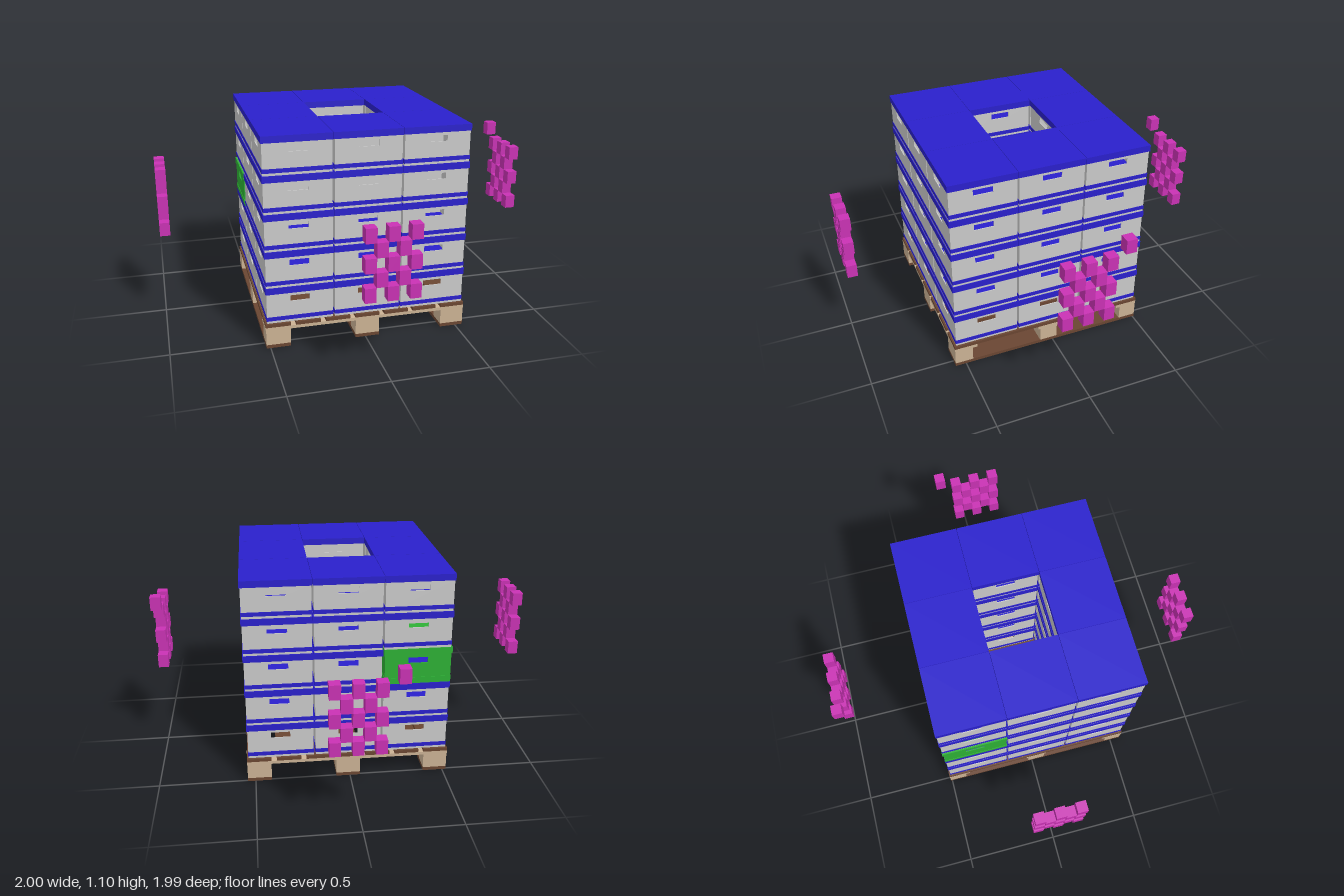
import * as THREE from 'three';
import { mergeGeometries } from 'three/addons/utils/BufferGeometryUtils.js';

const mat = (name, color) => {
  const m = new THREE.MeshStandardMaterial({ color });
  m.name = name;
  return m;
};

// Rectangle outline centred on (cx, cy)
function rect(Type, w, h, cx = 0, cy = 0) {
  const p = new Type();
  p.moveTo(cx - w / 2, cy - h / 2);
  p.lineTo(cx + w / 2, cy - h / 2);
  p.lineTo(cx + w / 2, cy + h / 2);
  p.lineTo(cx - w / 2, cy + h / 2);
  p.closePath();
  return p;
}

// Four crate walls, each with a hand slot
function wallsGeometry(size, height) {
  const t = 0.005;
  const shape = rect(THREE.Shape, size, height, 0, height / 2);
  shape.holes.push(rect(THREE.Path, 0.1, 0.031, 0, 0.129));
  const walls = [];
  for (let i = 0; i < 4; i++) {
    const g = new THREE.ExtrudeGeometry(shape, { depth: t, bevelEnabled: false });
    g.translate(0, 0, size / 2 - t);
    g.rotateY(i * Math.PI / 2);
    walls.push(g);
  }
  return mergeGeometries(walls);
}

// Square band around the crate foot
function bandGeometry(outer, inner, height) {
  const shape = rect(THREE.Shape, outer, outer);
  shape.holes.push(rect(THREE.Path, inner, inner));
  const g = new THREE.ExtrudeGeometry(shape, { depth: height, bevelEnabled: false });
  g.rotateX(-Math.PI / 2);
  return g;
}

export function createModel() {
  const grey = mat('crate grey', 0xcacaca);
  const blue = mat('lid blue', 0x2a20cc);
  const green = mat('crate green', 0x2db035);
  const brown = mat('dark wood', 0x6a4632);
  const tan = mat('light wood', 0xcbb294);
  const magenta = mat('marker magenta', 0xc932b4);

  const model = new THREE.Group();
  model.name = 'palletLoad';
  const add = (parent, name, geo, material, x, y, z) => {
    const m = new THREE.Mesh(geo, material);
    m.name = name;
    m.position.set(x, y, z);
    parent.add(m);
    return m;
  };
  const box = (parent, name, material, w, h, d, x, y, z) =>
    add(parent, name, new THREE.BoxGeometry(w, h, d), material, x, y, z);

  const CX = 0.01, CZ = 0.025;

  // Pallet: skids, blocks, cross boards, deck boards
  const pallet = new THREE.Group();
  pallet.name = 'pallet';
  model.add(pallet);
  for (let i = -1; i <= 1; i++) {
    const x = CX + i * 0.468;
    box(pallet, 'skid', brown, 0.126, 0.018, 1.066, x, 0.009, CZ);
    for (let j = -1; j <= 1; j++) {
      box(pallet, 'block', tan, 0.126, 0.08, 0.097, x, 0.058, CZ + j * 0.484);
    }
    box(pallet, 'crossBoard', tan, 1.066, 0.017, 0.122, CX, 0.1065, CZ + i * 0.472);
  }
  for (let i = -3; i <= 3; i++) {
    box(pallet, 'deckBoard', brown, 0.128, 0.017, 1.066, CX + i * 0.156, 0.1235, CZ);
  }

  // Crates: five layers of eight around an open well
  const PITCH = 0.352, STEP = 0.194, BASE = 0.134;
  const walls = wallsGeometry(0.341, 0.162);
  const band = bandGeometry(0.346, 0.332, 0.021);
  const lid = new THREE.BoxGeometry(0.35, 0.034, 0.35);
  for (let layer = 0; layer < 5; layer++) {
    for (let i = -1; i <= 1; i++) {
      for (let j = -1; j <= 1; j++) {
        if (i === 0 && j === 0) continue;
        const special = layer === 2 && i === -1 && j === -1;
        const crate = new THREE.Group();
        crate.name = special ? 'greenCrate' : 'crate';
        crate.position.set(CX + i * PITCH - (special ? 0.004 : 0), BASE + layer * STEP, CZ + j * PITCH);
        add(crate, 'crateWalls', walls, special ? green : grey, 0, 0, 0);
        add(crate, 'crateBand', band, special ? green : blue, 0, 0.013, 0);
        add(crate, 'crateLid', lid, special ? green : blue, 0, 0.177, 0);
        model.add(crate);
      }
    }
  }

  // Floating checkered markers, one beside each face
  const CW = 0.0535, CH = 0.072;
  const cube = new THREE.BoxGeometry(CW, CH, CW);
  function marker(name, x, y, z, turned) {
    const g = new THREE.Group();
    g.name = name;
    for (let i = -2; i <= 2; i++) {
      for (let j = -2; j <= 2; j++) {
        if ((i + j) % 2 === 0) add(g, 'markerCube', cube, magenta, i * CW, j * CH, 0);
      }
    }
    g.position.set(x, y, z);
    if (turned) g.rotation.y = Math.PI / 2;
    model.add(g);
  }
  marker('frontMarker', 0, 0.6, 0.97, false);
  marker('backMarker', 0.025, 0.6, -0.97, false);
  marker('leftMarker', 0.973, 0.675, 0.038, true);
  marker('rightMarker', -0.973, 0.675, 0, true);

  // Single cubes beside two of the markers
  add(model, 'backMarkerCube', cube, magenta, -0.18, 0.805, -0.97);
  add(model, 'leftMarkerCube', cube, magenta, 0.973, 0.892, -0.157);
  return model;
}
